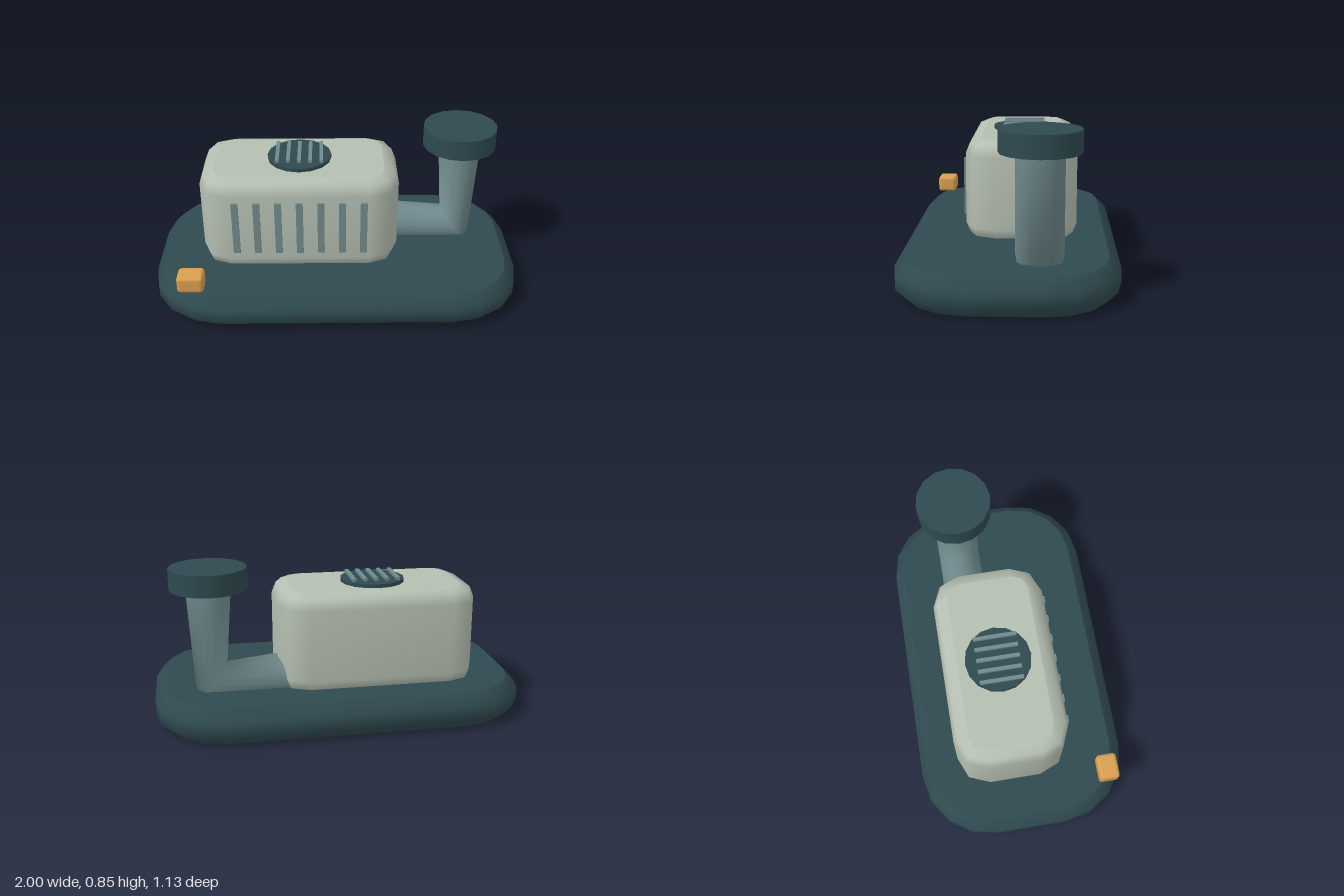
import * as THREE from 'three';
import { RoundedBoxGeometry } from 'three/addons/geometries/RoundedBoxGeometry.js';

const mat = (name, color) => Object.assign(new THREE.MeshStandardMaterial({ color }), { name });

// Skin a stack of equal-length rings: smooth sides, flat end caps.
function loft(rings) {
  const n = rings[0].length, pos = [], idx = [];
  rings.forEach(r => r.forEach(p => pos.push(...p)));
  for (let i = 0; i < rings.length - 1; i++) {
    for (let j = 0; j < n; j++) {
      const a = i * n + j, b = i * n + (j + 1) % n;
      idx.push(a, a + n, b, b, a + n, b + n);
    }
  }
  [rings[0], rings[rings.length - 1]].forEach((ring, top) => {
    const s = pos.length / 3;
    ring.forEach(p => pos.push(...p));
    for (let j = 1; j < n - 1; j++) {
      idx.push(s, top ? s + j + 1 : s + j, top ? s + j : s + j + 1);
    }
  });
  const g = new THREE.BufferGeometry();
  g.setAttribute('position', new THREE.Float32BufferAttribute(pos, 3));
  g.setIndex(idx);
  g.computeVertexNormals();
  return g;
}

// Horizontal rounded rectangle at height y, shrunk by inset.
function roundedRing(hx, hz, r, segs, y, inset) {
  const pts = [];
  for (let q = 0; q < 4; q++) {
    const sx = q === 0 || q === 3 ? 1 : -1, sz = q < 2 ? 1 : -1;
    for (let k = 0; k <= segs; k++) {
      const a = (q + k / segs) * Math.PI / 2;
      pts.push([sx * (hx - r) + Math.cos(a) * (r - inset), y, sz * (hz - r) + Math.sin(a) * (r - inset)]);
    }
  }
  return pts;
}

export function createModel() {
  const group = new THREE.Group();
  const dark = mat('dark teal', 0x2f4a50);
  const pale = mat('pale sage', 0xb5bfb1);
  const steel = mat('blue grey', 0x708a8d);
  const amber = mat('amber', 0xd9a04f);

  const add = (name, geometry, material, x = 0, y = 0, z = 0) => {
    const m = new THREE.Mesh(geometry, material);
    m.name = name;
    m.position.set(x, y, z);
    group.add(m);
    return m;
  };

  // Chamfered base slab
  add('base', loft([[0, 0.06], [0.06, 0], [0.135, 0], [0.195, 0.06]]
    .map(([y, inset]) => roundedRing(1, 0.567, 0.38, 4, y, inset))), dark);

  // Rounded housing, slightly sunk into the base
  add('housing', loft([[0.165, 0.08], [0.188, 0.023], [0.245, 0], [0.63, 0], [0.687, 0.023], [0.71, 0.08]]
    .map(([y, inset]) => roundedRing(0.54, 0.3, 0.16, 2, y, inset))), pale, -0.2, 0, -0.055);

  // Front vent slats
  for (let i = -3; i <= 3; i++) {
    add('ventSlat', new THREE.BoxGeometry(0.037, 0.31, 0.025), steel, -0.197 + i * 0.1145, 0.443, 0.2445);
  }

  // Round grille on top with raised bars
  add('grilleDisc', new THREE.CylinderGeometry(0.175, 0.175, 0.025, 16), dark, -0.2, 0.7175, -0.06);
  for (let i = -2; i <= 2; i++) {
    add('grilleBar', new THREE.BoxGeometry(0.02, 0.015, 0.23), steel, -0.2 + i * 0.06, 0.7425, -0.06);
  }

  // Elbow pipe, pinched at its mitred bend
  const r = 0.12, h = Math.SQRT1_2;
  const pipeRing = (x, y, dx, dy) => Array.from({ length: 16 }, (_, k) => {
    const a = k / 16 * Math.PI * 2;
    return [x + Math.cos(a) * r * dx, y + Math.cos(a) * r * dy, Math.sin(a) * r];
  });
  add('pipe', loft([
    pipeRing(0.28, 0.235, 0, -1),
    pipeRing(0.695, 0.23, h, -h),
    pipeRing(0.695, 0.76, 1, 0),
  ]), steel, 0, 0, -0.162);

  // Pipe cap
  add('pipeCap', new THREE.CylinderGeometry(0.204, 0.204, 0.114, 16), dark, 0.693, 0.79, -0.162);

  // Indicator block on the front corner
  add('indicator', new RoundedBoxGeometry(0.14, 0.095, 0.112, 2, 0.02), amber, -0.768, 0.256, 0.457);

  return group;
}
